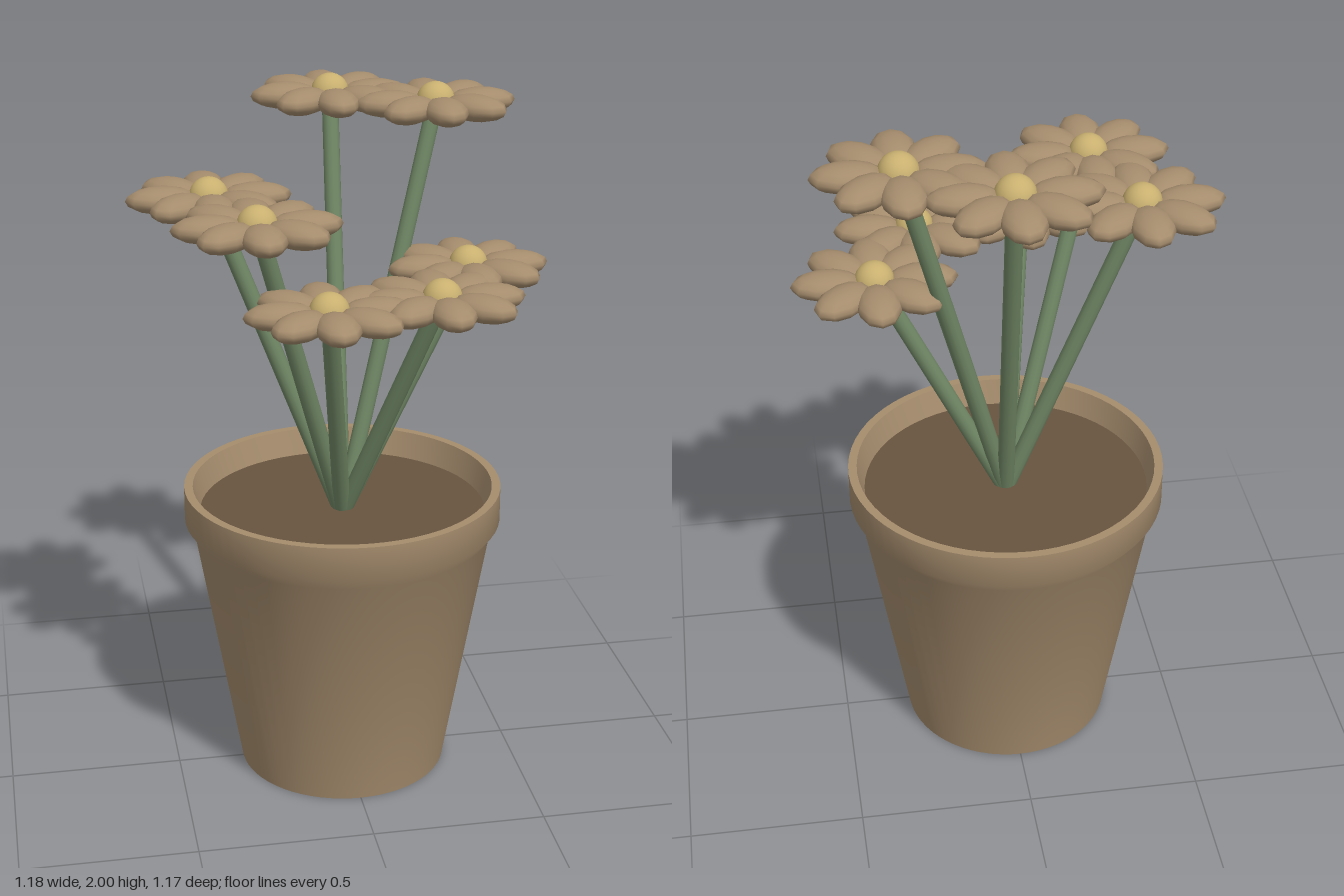
import * as THREE from 'three';
import { toCreasedNormals } from 'three/addons/utils/BufferGeometryUtils.js';

const mat = (name, color) => {
  const m = new THREE.MeshStandardMaterial({ color });
  m.name = name;
  return m;
};

export function createModel() {
  const clay = mat('clay brown', 0xa58c6d);
  const soilBrown = mat('soil brown', 0x67533f);
  const green = mat('stem green', 0x6f8664);
  const yellow = mat('flower centre yellow', 0xc9b070);

  const model = new THREE.Group();
  model.name = 'pottedFlowers';
  const add = (parent, name, geometry, material) => {
    const mesh = new THREE.Mesh(geometry, material);
    mesh.name = name;
    parent.add(mesh);
    return mesh;
  };

  // Tapered pot with a flat base, flared rim and hollow top
  const profile = [
    [0, 0], [0.305, 0], [0.433, 0.745],
    [0.459, 0.78], [0.459, 0.88], [0.434, 0.88], [0.412, 0.795],
  ].map(([x, y]) => new THREE.Vector2(x, y));
  add(model, 'pot', toCreasedNormals(new THREE.LatheGeometry(profile, 64), 0.7), clay);

  // Soil disc
  const soil = add(model, 'soil', new THREE.CircleGeometry(0.414, 64), soilBrown);
  soil.rotation.x = -Math.PI / 2;
  soil.position.y = 0.803;

  // Shared flower shapes; each petal is a flattened ellipsoid pointing along +x
  const petalGeo = new THREE.SphereGeometry(1, 10, 8);
  petalGeo.scale(0.1, 0.037, 0.061).translate(0.13, -0.004, 0);
  const centreGeo = new THREE.SphereGeometry(0.055, 20, 14);

  // Flower heads at three heights, with stems fanning out from the soil
  const base = new THREE.Vector3(0, 0.785, 0);
  const up = new THREE.Vector3(0, 1, 0);
  const heads = [
    [0.36, 1.52, 0.003], [0.219, 1.52, 0.293], [-0.099, 1.52, 0.355],
    [-0.272, 1.735, 0.25], [-0.362, 1.735, -0.06],
    [0.029, 1.945, -0.358], [0.303, 1.945, -0.193],
  ];
  for (const p of heads) {
    const top = new THREE.Vector3(...p);
    const dir = top.clone().sub(base);
    const stem = add(model, 'stem', new THREE.CylinderGeometry(0.024, 0.025, dir.length(), 12), green);
    stem.position.copy(base).add(top).multiplyScalar(0.5);
    stem.quaternion.setFromUnitVectors(up, dir.normalize());

    const flower = new THREE.Group();
    flower.name = 'flower';
    flower.position.copy(top);
    model.add(flower);
    add(flower, 'flowerCentre', centreGeo, yellow);
    for (let i = 0; i < 8; i++) {
      add(flower, 'petal', petalGeo, clay).rotation.y = (i * Math.PI) / 4;
    }
  }
  return model;
}
